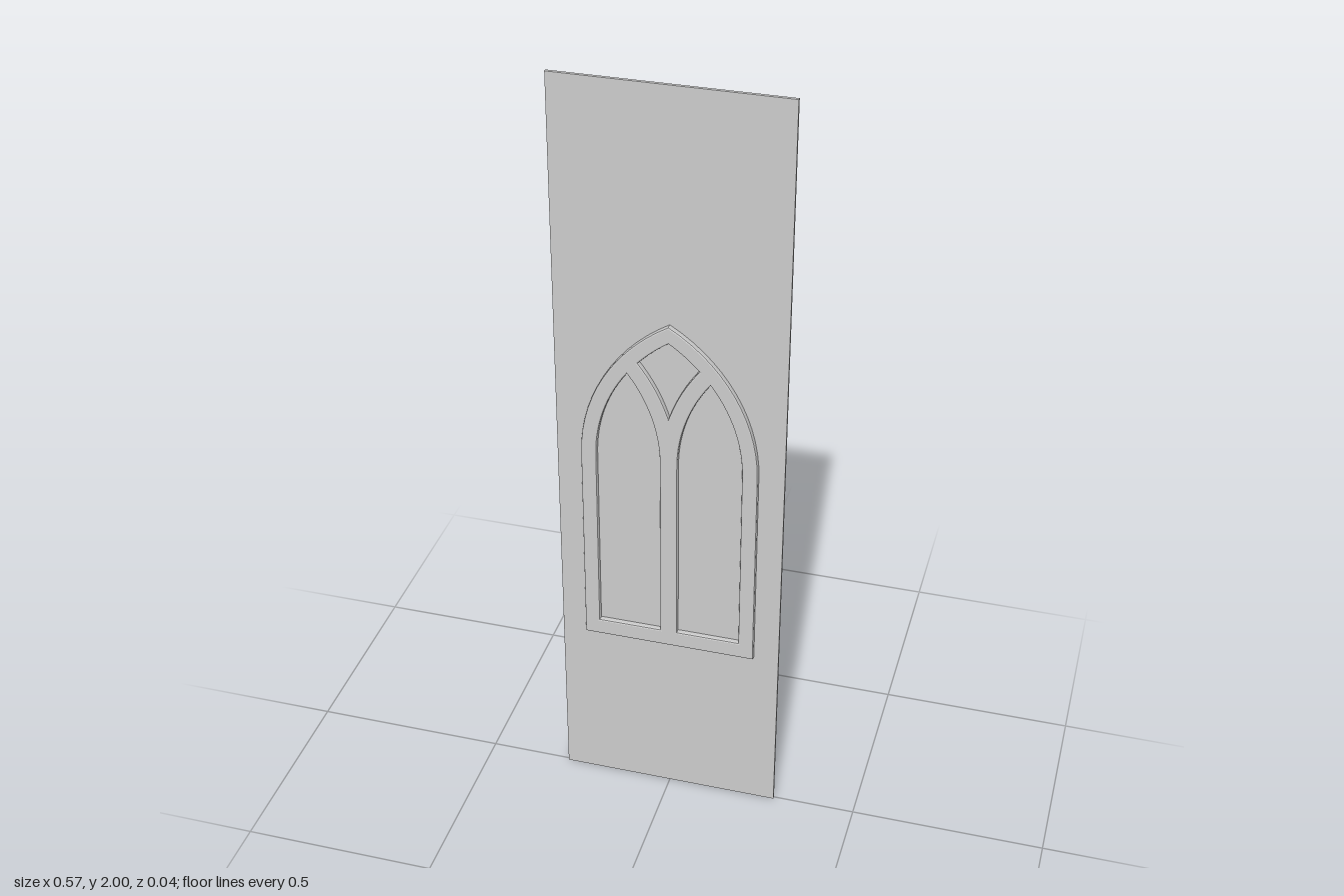
import * as THREE from 'three';
import { toCreasedNormals } from 'three/addons/utils/BufferGeometryUtils.js';

const SPRING = 1.02;      // height where the arches begin
const CX = 0.2228;        // centre of the big arch's left arc
const R_OUT = 0.4448, R_IN = 0.4058, R_BAR = 0.4478;
const LIGHT_X = 0.1025, LIGHT_C = 2 * LIGHT_X + CX;

// Points along an arc centred on the spring line, from x0 to x1
function arc(cx, r, x0, x1, n = 14) {
  const angle = (x) => Math.acos(THREE.MathUtils.clamp((x - cx) / r, -1, 1));
  const a = angle(x0), b = angle(x1);
  return Array.from({ length: n + 1 }, (_, i) => {
    const t = a + (b - a) * i / n;
    return new THREE.Vector2(cx + r * Math.cos(t), SPRING + r * Math.sin(t));
  });
}

// Pointed arch with a straight lower part, clockwise, symmetric about x = mid
function archPoints(mid, half, r, base) {
  const left = arc(mid - half + r, r, mid - half, mid);
  const right = arc(mid + half - r, r, mid, mid + half).slice(1);
  return [new THREE.Vector2(mid - half, base), ...left, ...right,
    new THREE.Vector2(mid + half, base)];
}

// Kite-shaped opening between the two lights and the top of the arch, clockwise
function kitePoints() {
  const side = -0.075;
  const left = [...arc(-LIGHT_C, R_BAR, 0, side, 8), ...arc(CX, R_IN, side, 0, 8).slice(1)];
  const right = left.slice(1, -1).reverse().map((p) => new THREE.Vector2(-p.x, p.y));
  return [...left, ...right];
}

export function createModel() {
  const group = new THREE.Group();
  const material = new THREE.MeshStandardMaterial({ color: 0xcccccc });

  // Thin wall panel, which also fills the window openings
  const panel = new THREE.Mesh(new THREE.BoxGeometry(0.572, 2, 0.008), material);
  panel.name = 'wallPanel';
  panel.position.set(0, 1, 0.003);
  group.add(panel);

  // Window frame with tracery, standing proud on both sides of the wall;
  // the outline runs anticlockwise and the openings clockwise
  const shape = new THREE.Shape(archPoints(0, 0.222, R_OUT, 0.469).reverse());
  for (const s of [-1, 1]) {
    shape.holes.push(new THREE.Path(archPoints(s * LIGHT_X, 0.0805, R_IN, 0.514)));
  }
  shape.holes.push(new THREE.Path(kitePoints()));

  const bevel = 0.004, depth = 0.041;
  const geometry = new THREE.ExtrudeGeometry(shape, {
    depth: depth - 2 * bevel, bevelEnabled: true, bevelThickness: bevel,
    bevelSize: bevel, bevelOffset: -bevel, bevelSegments: 2,
  });
  geometry.translate(0, 0, bevel - depth / 2);
  const frame = new THREE.Mesh(toCreasedNormals(geometry, 0.35), material);
  frame.name = 'windowFrame';
  group.add(frame);

  return group;
}
